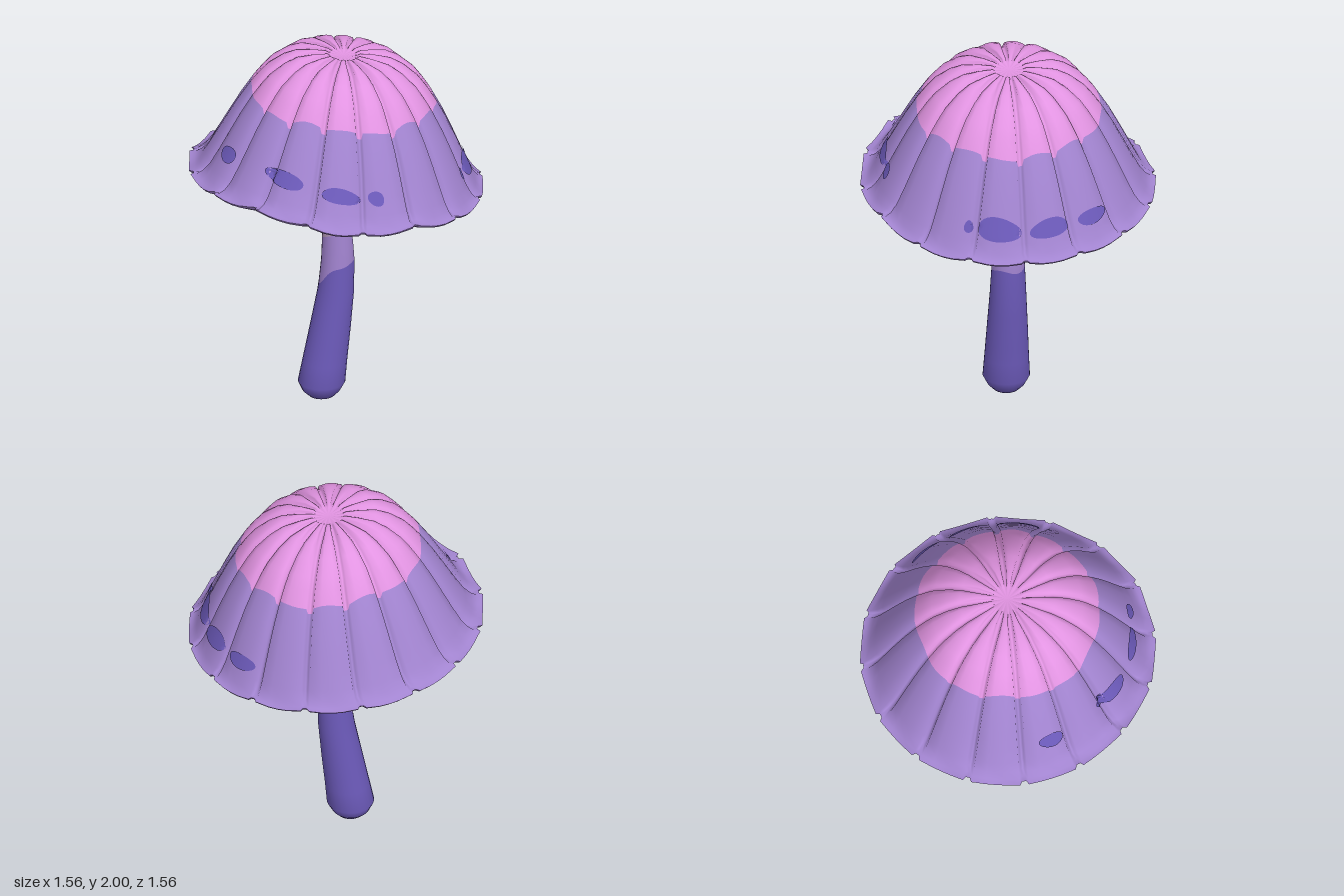
import * as THREE from 'three';

const PANELS = 16, RIM = 0.785, PINK_EDGE = 0.488, TAU = Math.PI * 2, DEG = Math.PI / 180;

const makeMaterial = (name, color, side = THREE.FrontSide) => {
  const m = new THREE.MeshStandardMaterial({ color, side });
  m.name = name;
  return m;
};

// Closed loft through rings of equal size; bands = [first row, last row, material index]
function loft(rows, bands) {
  const n = rows[0].length, index = [];
  const geo = new THREE.BufferGeometry();
  for (const [from, to, mat] of bands) {
    const start = index.length;
    for (let i = from; i < to; i++) {
      for (let j = 0; j < n; j++) {
        const k = (j + 1) % n;
        const a = i * n + j, c = i * n + k, b = a + n, d = c + n;
        index.push(a, c, b, c, d, b);
      }
    }
    geo.addGroup(start, index.length - start, mat);
  }
  geo.setAttribute('position', new THREE.Float32BufferAttribute(rows.flat(2), 3));
  geo.setIndex(index);
  geo.computeVertexNormals();
  return geo;
}

// Dome profile: radius, height
const DOME = [[0, 1.972], [0.07, 1.974], [0.09, 1.987], [0.16, 1.988], [0.25, 1.974], [0.32, 1.939],
  [0.4, 1.874], [0.445, 1.818], [PINK_EDGE, 1.757], [0.555, 1.642], [0.612, 1.53], [0.658, 1.436],
  [0.7, 1.352], [0.73, 1.303], [0.758, 1.274], [RIM, 1.264]];

function domeY(r) {
  let i = 1;
  while (i < DOME.length - 1 && DOME[i][0] < r) i++;
  const [r0, y0] = DOME[i - 1], [r1, y1] = DOME[i];
  return y0 + (y1 - y0) * (r - r0) / (r1 - r0);
}

// Groove half width as a fraction of a panel
const grooveWidth = r => Math.min(0.17, 0.011 / (Math.max(r, 0.01) * TAU / PANELS));

// 1 on the groove floor, falling to 0 on the middle of a panel
function grooveDepth(u, r) {
  const d = Math.min(u, 1 - u), w = grooveWidth(r);
  if (d <= w) return 1;
  if (d <= w + 0.04) return 1 - 0.75 * (d - w) / 0.04;
  return 0.25 * Math.pow((0.5 - d) / (0.46 - w), 2);
}

const bump = (theta, centre, width) => {
  const d = Math.atan2(Math.sin(theta - centre * DEG), Math.cos(theta - centre * DEG));
  return Math.exp(-((d / (width * DEG)) ** 2));
};

// Lean the cap sideways and wave its rim
function place(theta, r, y) {
  const x = 0.042 * (1 - Math.pow(Math.max(r, 0) / RIM, 4)) + r * Math.cos(theta);
  const wave = 0.06 * bump(theta, 132, 28) + 0.035 * bump(theta, 68, 16) - 0.015 * bump(theta, 245, 35);
  return [x, y - 0.092 * x + wave * Math.pow(r / RIM, 6), r * Math.sin(theta)];
}

// Scalloped edge: each panel hangs in the middle and flares beside a small notch
function scallop(theta, u, r, y, amount) {
  const mid = 4 * u * (1 - u), floor = Math.max(0, grooveDepth(u, RIM) - 0.25);
  return place(theta, r - amount * (0.012 * mid + 0.025 * floor), y + amount * 0.024 * (1 - mid));
}

const panelPart = theta => {
  const p = (theta / TAU * PANELS) % 1;
  return p < 0 ? p + 1 : p;
};

function domePoint(theta, r, lift = 0) {
  const u = panelPart(theta);
  const r0 = Math.max(0, r - 0.03), r1 = Math.min(RIM, r + 0.03);
  const slope = (domeY(r1) - domeY(r0)) / (r1 - r0), len = Math.hypot(1, slope);
  const edge = Math.min(1, Math.max(0, (r - 0.69) / 0.09));
  const depth = r <= 0.07 ? 0 : Math.min((r - 0.07) * 0.8, 0.02 + 0.02 * r) * (1 - edge);
  const off = lift - depth * grooveDepth(u, r);
  return scallop(theta, u, r - slope / len * off, domeY(r) + off / len, edge);
}

// One ring of samples, packed closely at the grooves
function ring(r, point) {
  const w = grooveWidth(r), out = [];
  for (let p = 0; p < PANELS; p++) {
    for (const u of [0, w, w + 0.04, 0.32, 0.5, 0.68, 0.96 - w, 1 - w]) {
      out.push(point((p + u) / PANELS * TAU, u));
    }
  }
  return out;
}

function capGeometry() {
  // Colour edge stays round across the grooves, with a slight wobble
  const pinkRadius = theta => PINK_EDGE + 0.02 * grooveDepth(panelPart(theta), PINK_EDGE)
    + 0.006 * Math.sin(theta * 5 + 1) + 0.004 * Math.sin(theta * 11);
  const rows = DOME.map(([r]) => ring(r, theta =>
    domePoint(theta, r === PINK_EDGE ? pinkRadius(theta) : r)));
  const colourRow = DOME.findIndex(([r]) => r === PINK_EDGE);
  // Rolled lip, then the shallow hollow below; repeated rows make creases
  const under = [[RIM, 1.264, 1], [0.775, 1.254, 0.9], [0.73, 1.252, 0.5], [0.645, 1.268, 0],
    [0.645, 1.268, 0], [0.5, 1.332, 0], [0.3, 1.395, 0], [0.15, 1.412, 0], [0, 1.41, 0]];
  for (const [r, y, amount] of under) {
    rows.push(ring(r, (theta, u) => scallop(theta, u, r, y, amount)));
  }
  const d = DOME.length;
  return loft(rows, [[0, colourRow, 0], [colourRow, d - 1, 1], [d, d + 3, 1], [d + 4, rows.length - 1, 2]]);
}

// Thin rounded patch that follows the dome
function spotGeometry(angle, r, halfAngle, halfR, slant) {
  const rows = [];
  for (let k = 0; k <= 8; k++) {
    const row = [];
    for (let j = 0; j < 32; j++) {
      const a = -j / 32 * TAU, f = k / 8 * (1 + 0.05 * Math.sin(3 * a + angle));
      const s = Math.cos(a) * f;
      row.push(domePoint((angle + halfAngle * s) * DEG, r + halfR * Math.sin(a) * f + slant * s, 0.006));
    }
    rows.push(row);
  }
  return loft(rows, [[0, 8, 0]]);
}

// Stem sections: height, centre x, radius
const STEM = [[1.45, -0.005, 0.062], [1.25, -0.005, 0.066], [1.08, 0.001, 0.071], [0.95, 0.008, 0.078],
  [0.8, 0.012, 0.087], [0.7, 0.009, 0.092], [0.6, 0, 0.097], [0.4, -0.028, 0.108], [0.2, -0.058, 0.118],
  [0.08, -0.075, 0.125], [0.03, -0.077, 0.1], [0, -0.075, 0.07]];

function stemPoint(theta, y) {
  let i = 1;
  while (i < STEM.length - 1 && STEM[i][0] > y) i++;
  const [y0, c0, r0] = STEM[i - 1], [y1, c1, r1] = STEM[i], t = (y - y0) / (y1 - y0);
  const r = r0 + (r1 - r0) * t;
  return [c0 + (c1 - c0) * t + r * Math.cos(theta), y, r * Math.sin(theta)];
}

function stemGeometry() {
  const upper = t => 0.925 + 0.035 * Math.sin(t + 0.3);
  const lower = t => 0.775 - 0.13 * bump(t, 175, 45) + 0.01 * Math.sin(3 * t);
  const heights = [() => 1.45, () => 1.25, () => 1.08, upper, t => (upper(t) + lower(t)) / 2, lower,
    () => 0.6, () => 0.5, () => 0.4, () => 0.3, () => 0.2, () => 0.08, () => 0.03, () => 0];
  const angles = Array.from({ length: 24 }, (_, j) => j / 24 * TAU);
  const rows = heights.map(h => angles.map(t => stemPoint(t, h(t))));
  rows.push(angles.map(() => [-0.075, 0, 0]));
  return loft(rows, [[0, 3, 0], [3, 5, 1], [5, 14, 2]]);
}

export function createModel() {
  const group = new THREE.Group();
  group.name = 'mushroom';
  const pink = makeMaterial('pink', 0xe294e2);
  const purple = makeMaterial('purple', 0xa284d0);
  const indigo = makeMaterial('indigo', 0x6c5aba);
  const pale = makeMaterial('pale mauve', 0xb89cbd, THREE.DoubleSide);

  const add = (name, geometry, material) => {
    const mesh = new THREE.Mesh(geometry, material);
    mesh.name = name;
    group.add(mesh);
    return mesh;
  };

  add('cap', capGeometry(), [pink, purple, pale]);
  add('stem', stemGeometry(), [pale, purple, indigo]);

  // Small frill where the stem meets the cap
  add('collar', new THREE.CylinderGeometry(0.064, 0.09, 0.06, 16, 1, true), pale).position.set(-0.005, 1.33, 0);

  // Spots: angle, radius, half angle, half radius, slant
  const spots = [[11.4, 0.667, 10, 0.029, -0.004], [-12, 0.669, 9.2, 0.023, 0.004], [-34, 0.671, 8, 0.018, 0],
    [25.5, 0.667, 1.9, 0.015, 0], [100, 0.655, 9, 0.019, -0.003], [83.5, 0.658, 3.8, 0.018, -0.004],
    [128, 0.642, 10.5, 0.021, -0.006], [165.5, 0.646, 6, 0.02, 0]];
  for (const spot of spots) add('spot', spotGeometry(...spot), indigo);

  return group;
}
